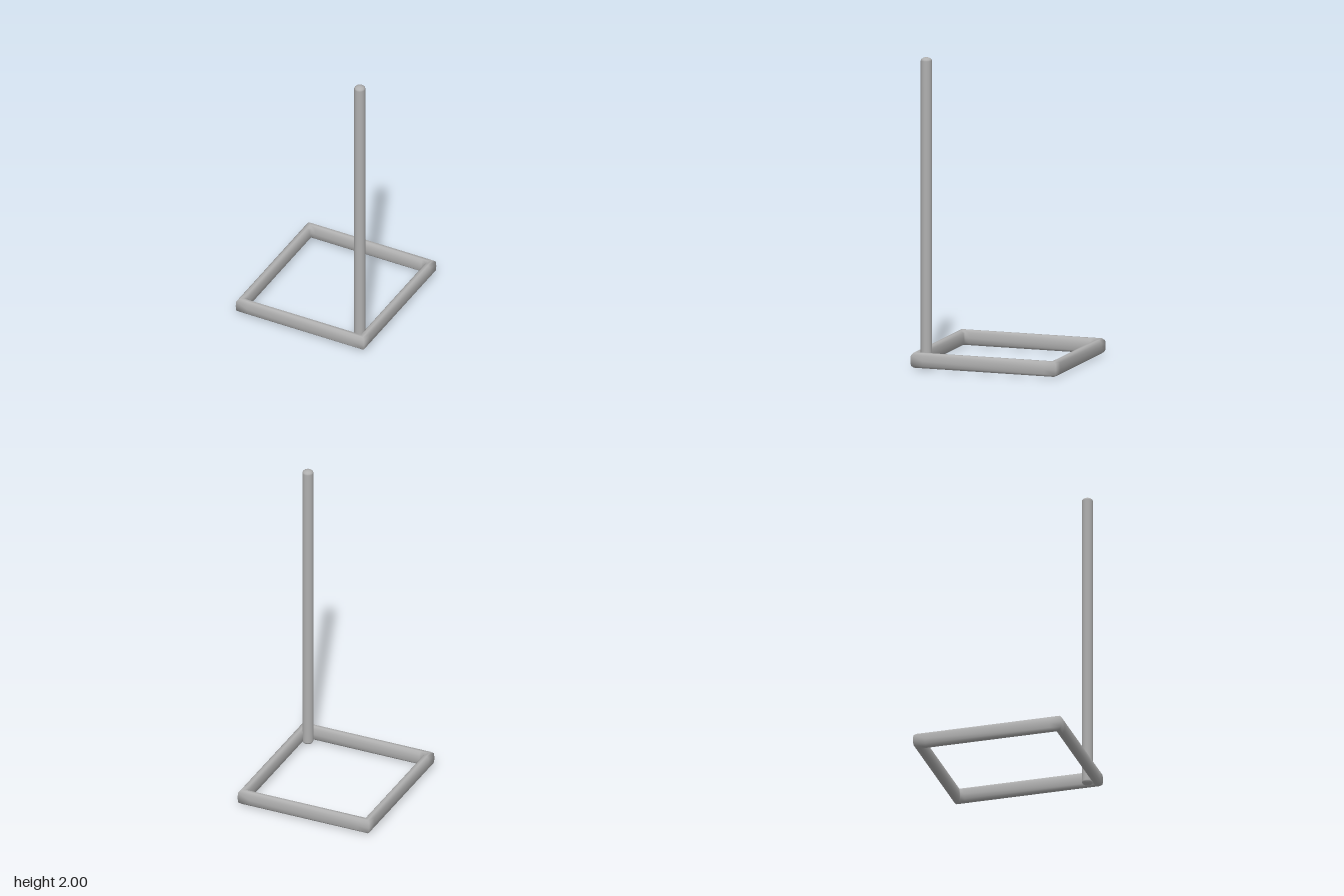
import * as THREE from 'three';

const material = new THREE.MeshStandardMaterial({ color: 0xb0b0b0 });

function part(name, geometry) {
  const mesh = new THREE.Mesh(geometry, material);
  mesh.name = name;
  return mesh;
}

// Rectangular base frame: a softly rounded rail section swept round four mitred corners
function createBaseFrame() {
  const halfX = 0.459, halfZ = 0.49, cornerLength = 0.08;
  // Rail section as [inset from the outer edge, height]: outer side, top, inner side, bottom
  const section = [
    [0, 0.056], [0.002, 0.09], [0.017, 0.105], [0.037, 0.105], [0.051, 0.09],
    [0.054, 0.056], [0.051, 0.023], [0.037, 0.008], [0.017, 0.008], [0.002, 0.023],
  ];
  const corners = [[-1, 1], [1, 1], [1, -1], [-1, -1]];
  const positions = [], indices = [];

  // Each corner has a mitre ring between one ring on either rail
  corners.forEach(([sx, sz], k) => {
    const onSide = (u) => [halfX - u, halfZ - cornerLength];
    const onMitre = (u) => [halfX - u, halfZ - u];
    const onFrontBack = (u) => [halfX - cornerLength, halfZ - u];
    const rings = [onSide, onMitre, onFrontBack];
    if (k % 2) rings.reverse();
    for (const ring of rings) {
      for (const [u, y] of section) {
        const [x, z] = ring(u);
        positions.push(sx * x, y, sz * z);
      }
    }
  });

  const n = section.length, ringCount = corners.length * 3;
  for (let i = 0; i < ringCount; i++) {
    const next = (i + 1) % ringCount;
    for (let j = 0; j < n; j++) {
      const up = (j + 1) % n;
      const a = i * n + j, b = next * n + j, c = i * n + up, d = next * n + up;
      indices.push(a, b, c, b, d, c);
    }
  }

  const geometry = new THREE.BufferGeometry();
  geometry.setAttribute('position', new THREE.Float32BufferAttribute(positions, 3));
  geometry.setIndex(indices);
  geometry.computeVertexNormals();
  return part('baseFrame', geometry);
}

// Upright pole with domed ends, standing inside the front left corner
function createPole() {
  const radius = 0.036, dome = 0.022, height = 2, steps = 4;
  const profile = [];
  for (let i = 0; i <= steps; i++) {
    const a = (i / steps) * Math.PI / 2;
    profile.push(new THREE.Vector2(radius * Math.sin(a), dome * (1 - Math.cos(a))));
  }
  for (let i = steps; i >= 0; i--) {
    profile.push(new THREE.Vector2(profile[i].x, height - profile[i].y));
  }
  const pole = part('pole', new THREE.LatheGeometry(profile, 16));
  pole.position.set(0.386, 0, 0.409);
  return pole;
}

export function createModel() {
  const model = new THREE.Group();
  model.name = 'poleOnFrame';
  model.add(createBaseFrame(), createPole());
  return model;
}
